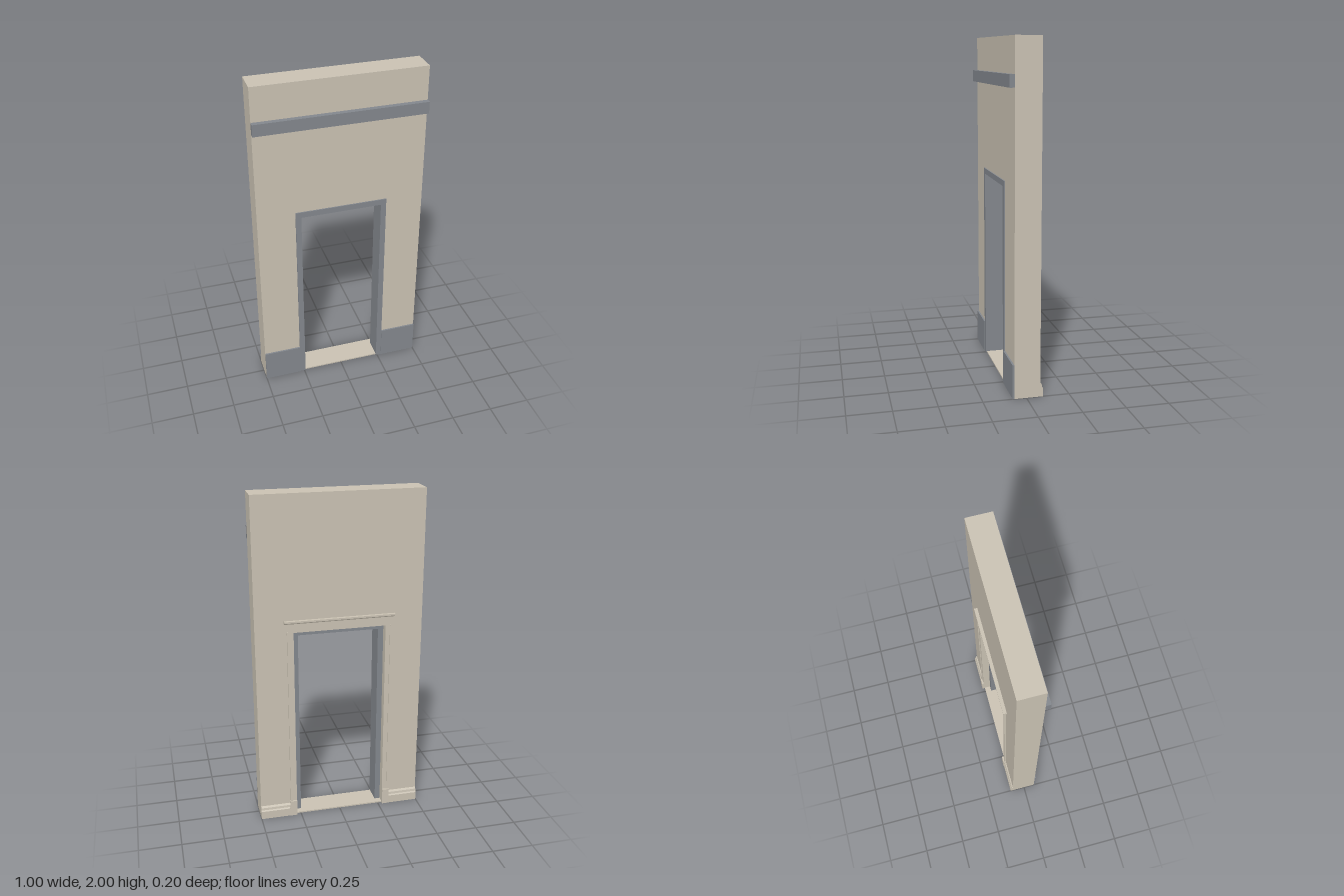
import * as THREE from 'three';

const plaster = new THREE.MeshStandardMaterial({ color: 0xcac2b3 });
plaster.name = 'warm plaster';
const stone = new THREE.MeshStandardMaterial({ color: 0x83878d });
stone.name = 'grey stone';

export function createModel() {
  const model = new THREE.Group();
  model.name = 'doorwayWall';

  const add = (name, geometry, material) => {
    const mesh = new THREE.Mesh(geometry, material);
    mesh.name = name;
    model.add(mesh);
    return mesh;
  };

  // Box given by its limits on each axis
  const box = (name, material, [x0, x1], [y0, y1], [z0, z1]) => {
    const g = new THREE.BoxGeometry(x1 - x0, y1 - y0, z1 - z0);
    g.translate((x0 + x1) / 2, (y0 + y1) / 2, (z0 + z1) / 2);
    return add(name, g, material);
  };

  // Box limits mirrored to either side of the doorway
  const span = (side, a, b) => (side > 0 ? [a, b] : [-b, -a]);

  // Side profile of [z, y] points swept along x
  const sweep = (name, material, points, [x0, x1]) => {
    const shape = new THREE.Shape(points.map(([z, y]) => new THREE.Vector2(-z, y)));
    const g = new THREE.ExtrudeGeometry(shape, { depth: x1 - x0, bevelEnabled: false });
    g.rotateY(Math.PI / 2);
    g.translate(x0, 0, 0);
    return add(name, g, material);
  };

  // Wall with the door opening cut out above a thin threshold
  const wall = new THREE.Shape([
    new THREE.Vector2(-0.5, 0), new THREE.Vector2(0.5, 0),
    new THREE.Vector2(0.5, 2), new THREE.Vector2(-0.5, 2),
  ]);
  wall.holes.push(new THREE.Path([
    new THREE.Vector2(-0.275, 0.008), new THREE.Vector2(-0.275, 1.204),
    new THREE.Vector2(0.275, 1.204), new THREE.Vector2(0.275, 0.008),
  ]));
  const wallGeometry = new THREE.ExtrudeGeometry(wall, { depth: 0.15, bevelEnabled: false });
  wallGeometry.translate(0, 0, -0.08);
  add('wall', wallGeometry, plaster);

  // Deep stone door frame, slightly proud of the front
  const frame = new THREE.Shape([
    [-0.275, 0], [-0.242, 0], [-0.242, 1.17], [0.242, 1.17],
    [0.242, 0], [0.275, 0], [0.275, 1.204], [-0.275, 1.204],
  ].map(([x, y]) => new THREE.Vector2(x, y)));
  const frameGeometry = new THREE.ExtrudeGeometry(frame, { depth: 0.118, bevelEnabled: false });
  frameGeometry.translate(0, 0, -0.041);
  add('doorFrame', frameGeometry, stone);

  // Front string course
  box('stringCourse', stone, [-0.5, 0.5], [1.73, 1.8], [0.07, 0.1]);

  // Skirting board profile on the back
  const skirtingProfile = [
    [-0.08, 0], [-0.096, 0], [-0.096, 0.05], [-0.091, 0.058],
    [-0.089, 0.072], [-0.084, 0.08], [-0.08, 0.082],
  ];

  for (const side of [1, -1]) {
    const label = side > 0 ? 'left' : 'right';
    box(label + 'FrontPlinth', stone, span(side, 0.275, 0.5), [0, 0.2], [0.07, 0.08]);
    sweep(label + 'BackSkirting', plaster, skirtingProfile, span(side, 0.318, 0.5));
    // Back casing: flat board with a raised outer bead, on a plinth block
    box(label + 'CasingBoard', plaster, span(side, 0.275, 0.302), [0.1, 1.21], [-0.086, -0.08]);
    box(label + 'CasingBead', plaster, span(side, 0.302, 0.314), [0.1, 1.21], [-0.091, -0.08]);
    box(label + 'CasingBlock', plaster, span(side, 0.275, 0.318), [0, 0.1], [-0.098, -0.08]);
  }

  // Back door head: frieze and projecting moulded cap
  box('headFrieze', plaster, [-0.318, 0.318], [1.204, 1.264], [-0.087, -0.08]);
  sweep('headCap', plaster, [
    [-0.08, 1.258], [-0.09, 1.258], [-0.094, 1.265], [-0.1, 1.266],
    [-0.1, 1.276], [-0.08, 1.276],
  ], [-0.33, 0.33]);

  return model;
}
